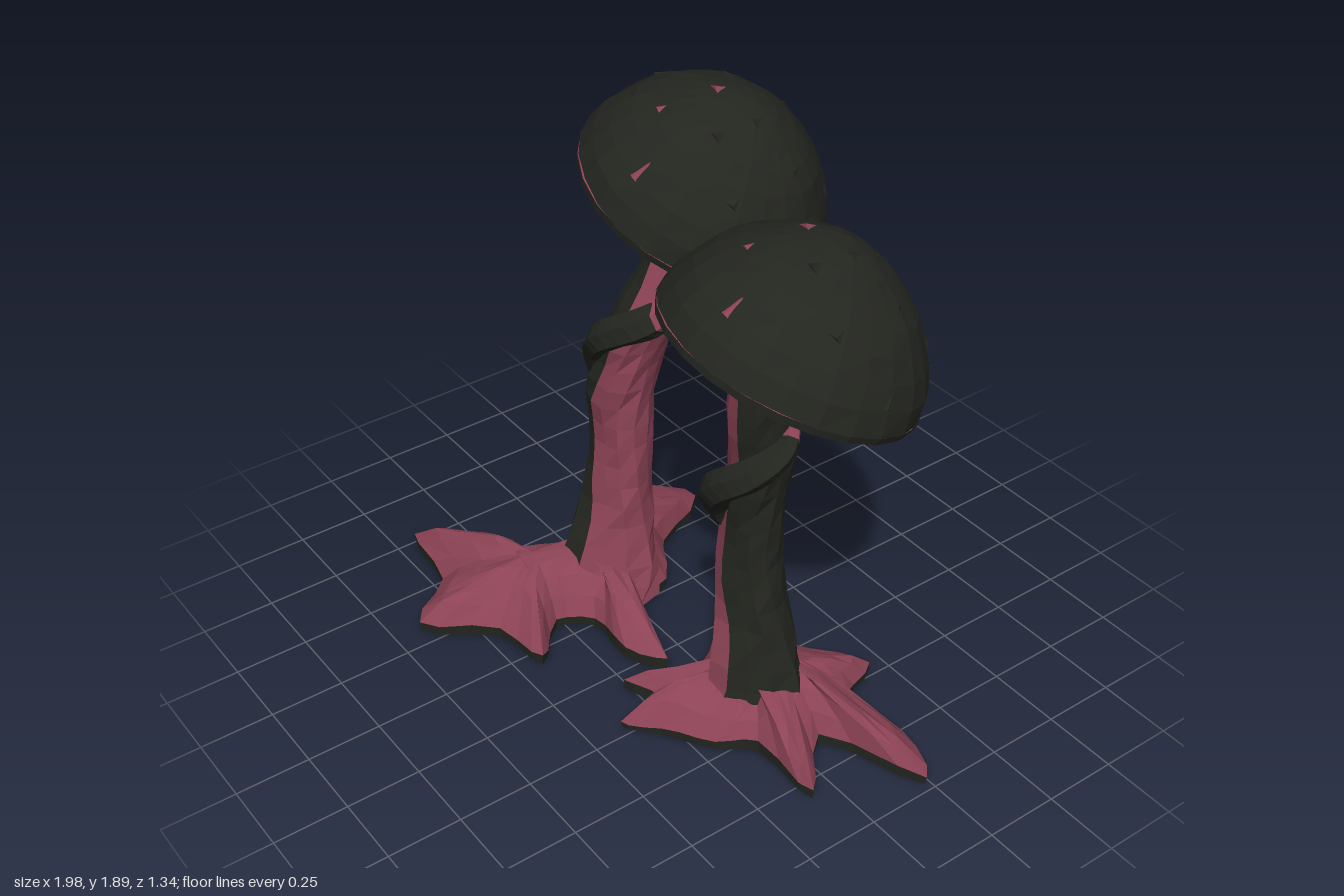
import * as THREE from 'three';

const material = (color) => new THREE.MeshStandardMaterial({ color, flatShading: true, side: THREE.DoubleSide });
const PINK = material(0x8c4355);
const DARK = material(0x23251f);
const V = (x, y, z) => new THREE.Vector3(x, y, z);
const rad = THREE.MathUtils.degToRad;
const { lerp, smoothstep } = THREE.MathUtils;

// smooth repeatable roughness in -1..1
const rough = (x, y, z) => (Math.sin(13 * x + 5 * y) + Math.sin(11 * y - 9 * z) + Math.sin(17 * z + 8 * x + 2)) / 3;

// surface from a rule f(i, j) over nu x nv cells
function grid(nu, nv, f) {
  const pos = [], idx = [];
  for (let j = 0; j <= nv; j++) for (let i = 0; i <= nu; i++) pos.push(...f(i, j).toArray());
  for (let j = 0; j < nv; j++) for (let i = 0; i < nu; i++) {
    const a = j * (nu + 1) + i, d = a + nu + 1;
    idx.push(a, a + 1, d + 1, a, d + 1, d);
  }
  const g = new THREE.BufferGeometry();
  g.setAttribute('position', new THREE.Float32BufferAttribute(pos, 3));
  g.setIndex(idx);
  g.computeVertexNormals();
  return g;
}

function add(parent, name, geometry, mat) {
  const m = new THREE.Mesh(geometry, mat);
  m.name = name;
  parent.add(m);
  return m;
}

// stem centre and radius at a height; rows are [y, x, z, r]
function stemAt(rows, y) {
  let k = 0;
  while (k < rows.length - 2 && rows[k + 1][0] < y) k++;
  const a = rows[k], b = rows[k + 1], t = (y - a[0]) / (b[0] - a[0]);
  return [1, 2, 3].map((n) => lerp(a[n], b[n], t));
}

// half of the stem, facing +x (start -90) or -x (start 90)
function stemHalf(rows, start) {
  const y0 = rows[0][0], y1 = rows[rows.length - 1][0];
  return grid(6, 20, (i, j) => {
    const y = lerp(y0, y1, j / 20), [x, z, r] = stemAt(rows, y);
    const a = rad(start + i * 30) + 0.25 * Math.sin(7 * y);
    const c = Math.cos(a), s = Math.sin(a);
    const q = r * (1 + 0.08 * Math.sin(3 * a + 4 * y) + 0.1 * rough(c, 2 * y, s));
    return V(x + c * q, y, z - s * q);
  });
}

// tapered strand climbing round the stem; steps are [degrees, y, gap], 90 degrees is the front
function strand(rows, steps, from, to) {
  const curve = new THREE.CatmullRomCurve3(steps.map(([deg, y, gap]) => {
    const [x, z, r] = stemAt(rows, y);
    return V(x + Math.cos(rad(deg)) * (r + gap), y, z + Math.sin(rad(deg)) * (r + gap));
  }));
  const n = 24, frames = curve.computeFrenetFrames(n);
  const first = Math.round(from * n), last = Math.round(to * n);
  return grid(6, last - first, (i, j) => {
    const k = first + j, t = k / n, a = i * Math.PI / 3;
    const w = 0.006 + 0.05 * Math.sin(Math.PI * Math.min(1, t * 0.88 + 0.05));
    return curve.getPoint(t)
      .addScaledVector(frames.normals[k], Math.cos(a) * w)
      .addScaledVector(frames.binormals[k], Math.sin(a) * w);
  });
}

// spreading root foot; lobes are [[ridge x, z], [outline x, z], ...], each fanning out from its own ridge point
function foot(parent, lobes, swell) {
  const points = lobes.flatMap(([ridge, ...tips]) => tips.map((tip) => [ridge, tip]));
  const loop = (k) => new THREE.CatmullRomCurve3(points.map((p) => V(p[k][0], 0, p[k][1])), true);
  const ridgeLine = loop(0), outline = loop(1), n = points.length * 3;
  const at = (i, t, y) => {
    const u = (i % n) / n;
    return ridgeLine.getPoint(u).lerp(outline.getPoint(u), t).setY(y);
  };
  const border = (i) => { const p = at(i, 1, 0); return 0.048 + 0.02 * rough(p.x * 2, 1, p.z * 2); };
  const profile = [[0, 0.22], [0.3, 0.2 * swell], [0.55, 0.165 * swell], [0.8, 0.115 * swell], [1, 0]];
  add(parent, 'rootTop', grid(n, 4, (i, j) => {
    const [t, y] = profile[j], p = at(i, t, j === 4 ? border(i) : y);
    if (j > 0 && j < 4) p.y += 0.022 * rough(p.x * 2, 0, p.z * 2);
    return p;
  }), PINK);
  const under = [[1, 0], [0.99, 0.012], [0.5, 0.01], [0, 0.01]];
  add(parent, 'rootUnderside', grid(n, 3, (i, j) => at(i, under[j][0], j ? under[j][1] : border(i))), DARK);
  // cap between the ridge points
  add(parent, 'rootRidge', grid(n, 1, (i, j) => at(i, 0, 0.22).lerp(at(0, 0, 0.22), 1 - j)), PINK);
  add(parent, 'rootSole', grid(n, 1, (i, j) => at(i, 0, 0.01).lerp(at(0, 0, 0.01), j)), DARK);
}

// tilted cap with dome, rolled lip, pleated gills and bark flakes
function cap(parent, centre, slopeX, slopeZ) {
  const R = 0.412, H = 0.38, g = new THREE.Group();
  g.name = 'cap';
  g.position.set(...centre);
  g.quaternion.setFromUnitVectors(V(0, 1, 0), V(-slopeX, 1, -slopeZ).normalize());
  parent.add(g);

  const ring = (a, r, y) => V(Math.cos(a) * r, y, -Math.sin(a) * r);
  const dome = (a, e) => {
    const c = Math.cos(a), s = Math.sin(a);
    const k = 1 - 0.06 * Math.sin(2 * e) + 0.02 * rough(c * 0.5, e * 2, s * 0.5) * Math.cos(e);
    return ring(a, R * Math.cos(e) * k, H * Math.sin(e) * k);
  };
  add(g, 'capDome', grid(24, 8, (i, j) => dome((i % 24) * Math.PI / 12, j * Math.PI / 16)), DARK);

  const edge = [[0.9, -0.012], [0.95, -0.032], [0.985, -0.025], [1, 0]];
  const lip = (from, to) => grid(24, to - from, (i, j) => {
    const [r, y] = edge[from + j];
    return ring((i % 24) * Math.PI / 12, R * r, y);
  });
  add(g, 'capLip', lip(0, 2), PINK);
  add(g, 'capRim', lip(2, 3), DARK);

  const gillRows = [[0.15, -0.016], [0.4, -0.014], [0.7, -0.012], [0.93, -0.018]];
  add(g, 'gills', grid(128, 3, (i, j) => {
    const [r, y] = gillRows[j];
    return ring((i % 128) * Math.PI / 64, R * r, y + (i % 2 ? 0.022 : -0.012) * smoothstep(r, 0, 0.6));
  }), PINK);

  // flakes laid along the surface
  for (let k = 0; k < 14; k++) {
    const p = dome(k * 2.4, 0.3 + 0.085 * k), mat = k % 5 === 2 ? PINK : DARK;
    const flake = add(g, 'barkFlake', new THREE.ConeGeometry(0.03, 0.07, 3), mat);
    flake.scale.z = 0.3;
    flake.position.copy(p).multiplyScalar(0.987);
    flake.quaternion.setFromUnitVectors(V(0, 0, 1), V(p.x, p.y * 1.3, p.z).normalize());
  }
}

function mushroom(parent, name, o) {
  const g = new THREE.Group();
  g.name = name;
  parent.add(g);
  add(g, 'stemInnerSide', stemHalf(o.stem, o.pinkStart), PINK);
  add(g, 'stemOuterSide', stemHalf(o.stem, -o.pinkStart), DARK);
  add(g, 'strandLower', strand(o.stem, o.strand, 0, o.split), DARK);
  add(g, 'strandUpper', strand(o.stem, o.strand, o.split, 1), PINK);
  foot(g, o.lobes, o.swell);
  cap(g, o.cap, o.slopeX, o.slopeZ);
}

export function createModel() {
  const model = new THREE.Group();
  model.name = 'twinMushrooms';

  mushroom(model, 'tallMushroom', {
    stem: [[0.03, -0.41, 0.02, 0.2], [0.15, -0.4, 0, 0.17], [0.3, -0.39, -0.02, 0.135], [0.6, -0.37, -0.05, 0.1],
      [0.8, -0.385, -0.05, 0.112], [1, -0.345, -0.06, 0.11], [1.18, -0.28, -0.1, 0.11], [1.3, -0.255, -0.17, 0.11],
      [1.42, -0.235, -0.235, 0.108], [1.58, -0.21, -0.28, 0.11]],
    pinkStart: -90,
    strand: [[215, 0.6, -0.03], [180, 0.78, -0.03], [135, 0.97, -0.01], [90, 1.1, 0.02], [40, 1.18, 0.01],
      [0, 1.22, 0], [-50, 1.235, 0.02], [-80, 1.24, 0.03]],
    split: 0.62,
    swell: 1,
    lobes: [
      [[-0.4, 0.07], [0.08, 0.1], [-0.05, 0.18], [-0.24, 0.17]],
      [[-0.48, 0.26], [-0.31, 0.28], [-0.18, 0.42], [-0.38, 0.46], [-0.57, 0.66], [-0.72, 0.48], [-1, 0.43],
        [-0.84, 0.31], [-0.66, 0.23]],
      [[-0.46, 0.05], [-0.57, 0.07]],
      [[-0.46, -0.08], [-0.62, -0.09], [-0.7, -0.19], [-0.89, -0.22], [-0.74, -0.41], [-0.57, -0.5], [-0.45, -0.27]],
      [[-0.4, -0.04], [-0.27, -0.15], [-0.22, 0]],
    ],
    cap: [-0.25, 1.53, -0.275], slopeX: -0.43, slopeZ: 0.26,
  });

  mushroom(model, 'shortMushroom', {
    stem: [[0.03, 0.38, -0.03, 0.19], [0.15, 0.38, -0.03, 0.155], [0.3, 0.37, -0.03, 0.13], [0.6, 0.335, -0.035, 0.1],
      [0.8, 0.335, -0.04, 0.097], [1, 0.37, -0.035, 0.1], [1.2, 0.38, -0.02, 0.105], [1.47, 0.43, -0.02, 0.105]],
    pinkStart: 90,
    strand: [[200, 0.52, -0.01], [170, 0.66, -0.02], [130, 0.8, 0.01], [90, 0.94, 0.05], [45, 1.03, 0.03],
      [0, 1.09, 0.01], [-70, 1.18, 0]],
    split: 0.88,
    swell: 0.92,
    lobes: [
      [[0.42, -0.08], [0.98, -0.23], [0.64, -0.08]],
      [[0.42, 0], [0.82, 0.09], [0.56, 0.1], [0.47, 0.2]],
      [[0.36, 0], [0.32, 0.3], [0.21, 0.38], [0.21, 0.22], [0.07, 0.27], [0.18, 0.06]],
      [[0.36, -0.06], [0, -0.2], [0.2, -0.18], [0.32, -0.3]],
      [[0.42, -0.1], [0.48, -0.43], [0.55, -0.28], [0.78, -0.31]],
    ],
    cap: [0.475, 1.42, -0.042], slopeX: -0.18, slopeZ: 0.42,
  });

  return model;
}
